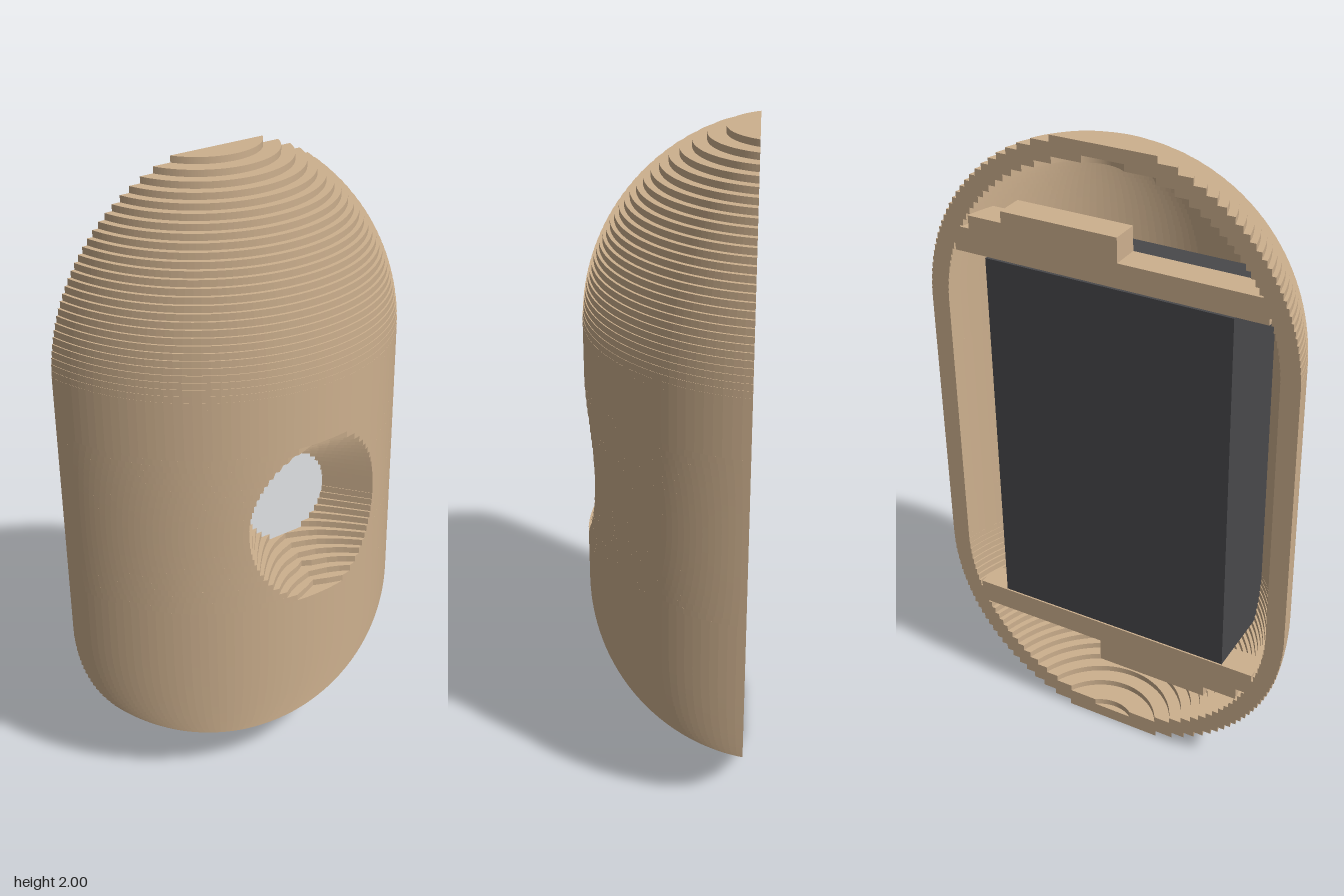
import * as THREE from 'three';
import { mergeGeometries } from 'three/addons/utils/BufferGeometryUtils.js';

const R = 0.595, WALL = 0.058;      // capsule radius and shell thickness
const AXIS = -0.345, CUT = -0.255;  // z of the capsule axis and of the flat back
const STEP = 0.02, CAP = 29;        // height and number of the stepped cap layers
const BOSS = 0.07;                  // z where the conical opening ends

// Points on an arc about the capsule axis, as (x, -z) for extruding upwards
function arc(r, from, to, n) {
  return Array.from({ length: n + 1 }, (_, i) => {
    const a = from + (to - from) * i / n;
    return new THREE.Vector2(r * Math.cos(a), -(AXIS + r * Math.sin(a)));
  });
}
const cutAngle = r => Math.asin((CUT - AXIS) / r);

function slab(points, y, height) {
  return new THREE.ExtrudeGeometry(new THREE.Shape(points), { depth: height, bevelEnabled: false })
    .rotateX(-Math.PI / 2).translate(0, y, 0);
}

// Half-ring cross-section, solid when the inner radius does not reach the cut
function ring(rOut, rIn) {
  const a = cutAngle(rOut), pts = arc(rOut, a, Math.PI - a, 64);
  if (rIn > CUT - AXIS + 0.005) {
    const b = cutAngle(rIn);
    pts.push(...arc(rIn, Math.PI - b, b, 64));
  }
  return pts;
}

// One side of a layer through the conical opening, dy from the cone axis
function openingHalf(dy) {
  const half = z => Math.sqrt(Math.max(0, (0.095 + 0.7 * z) ** 2 - dy * dy));
  let lo = cutAngle(R), hi = Math.PI / 2;
  for (let i = 0; i < 30; i++) {
    const m = (lo + hi) / 2;
    if (R * Math.cos(m) > half(AXIS + R * Math.sin(m))) lo = m; else hi = m;
  }
  const rIn = R - WALL, zEnd = AXIS + R * Math.sin(lo);
  const pts = arc(R, cutAngle(R), lo, 32);
  for (let i = 1; i <= 10; i++) {
    const z = zEnd + (BOSS - zEnd) * i / 10;
    pts.push(new THREE.Vector2(half(z), -z));
  }
  pts.push(...arc(rIn, Math.asin((BOSS - AXIS) / rIn), cutAngle(rIn), 20));
  return pts;
}

export function createModel() {
  const model = new THREE.Group();
  const tan = new THREE.MeshStandardMaterial({ color: 0xcdb08e });
  tan.name = 'tan shell';
  const dark = new THREE.MeshStandardMaterial({ color: 0x48484b });
  dark.name = 'dark grey';
  const pale = new THREE.MeshStandardMaterial({ color: 0xe0e2e4 });
  pale.name = 'pale grey';

  const add = (name, geometry, material) => {
    const mesh = new THREE.Mesh(geometry, material);
    mesh.name = name;
    model.add(mesh);
    return mesh;
  };

  // Stepped domes at top and bottom
  const top = [], bottom = [];
  for (let i = 0; i < CAP; i++) {
    const h = R - (0.0295 + STEP * i);
    const rOut = Math.sqrt(R * R - h * h);
    const rIn = Math.sqrt(Math.max(0, (R - WALL) ** 2 - h * h));
    top.push(slab(ring(rOut, rIn), 2 - STEP * (i + 1), STEP));
    bottom.push(slab(ring(rOut, rIn), STEP * i, STEP));
  }
  add('topDome', mergeGeometries(top), tan);
  add('bottomDome', mergeGeometries(bottom), tan);

  // Straight body, layered around the conical opening
  const body = [slab(ring(R, R - WALL), 0.58, 0.14), slab(ring(R, R - WALL), 1.28, 0.14)];
  for (let i = 0; i < 28; i++) {
    const y = 0.72 + STEP * i, pts = openingHalf(y + STEP / 2 - 1);
    body.push(slab(pts, y, STEP));
    body.push(slab(pts.map(p => new THREE.Vector2(-p.x, p.y)), y, STEP));
  }
  add('body', mergeGeometries(body), tan);

  // Inner box and the round window in front of it
  add('innerBox', new THREE.BoxGeometry(0.78, 1.19, 0.315), dark).position.set(0, 1, CUT + 0.1575);
  add('window', new THREE.CylinderGeometry(0.16, 0.16, 0.008, 48).rotateX(Math.PI / 2), pale)
    .position.set(0, 1, 0.065);

  // Stepped holding rails, the lower one turned half around
  for (const s of [1, -1]) {
    const rail = new THREE.Group();
    rail.name = s > 0 ? 'topRail' : 'bottomRail';
    const bar = (x0, x1, y0, y1, depth) => {
      const m = new THREE.Mesh(new THREE.BoxGeometry(x1 - x0, y1 - y0, depth), tan);
      m.name = 'railBar';
      m.position.set((x0 + x1) / 2 * s, 1 + (y0 + y1) / 2 * s, CUT + depth / 2);
      rail.add(m);
    };
    bar(-0.49, 0.49, 0.6, 0.675, 0.09);
    bar(-0.04, 0.33, 0.67, 0.75, 0.09);
    bar(0.33, 0.44, 0.67, 0.715, 0.09);
    model.add(rail);
  }
  return model;
}
